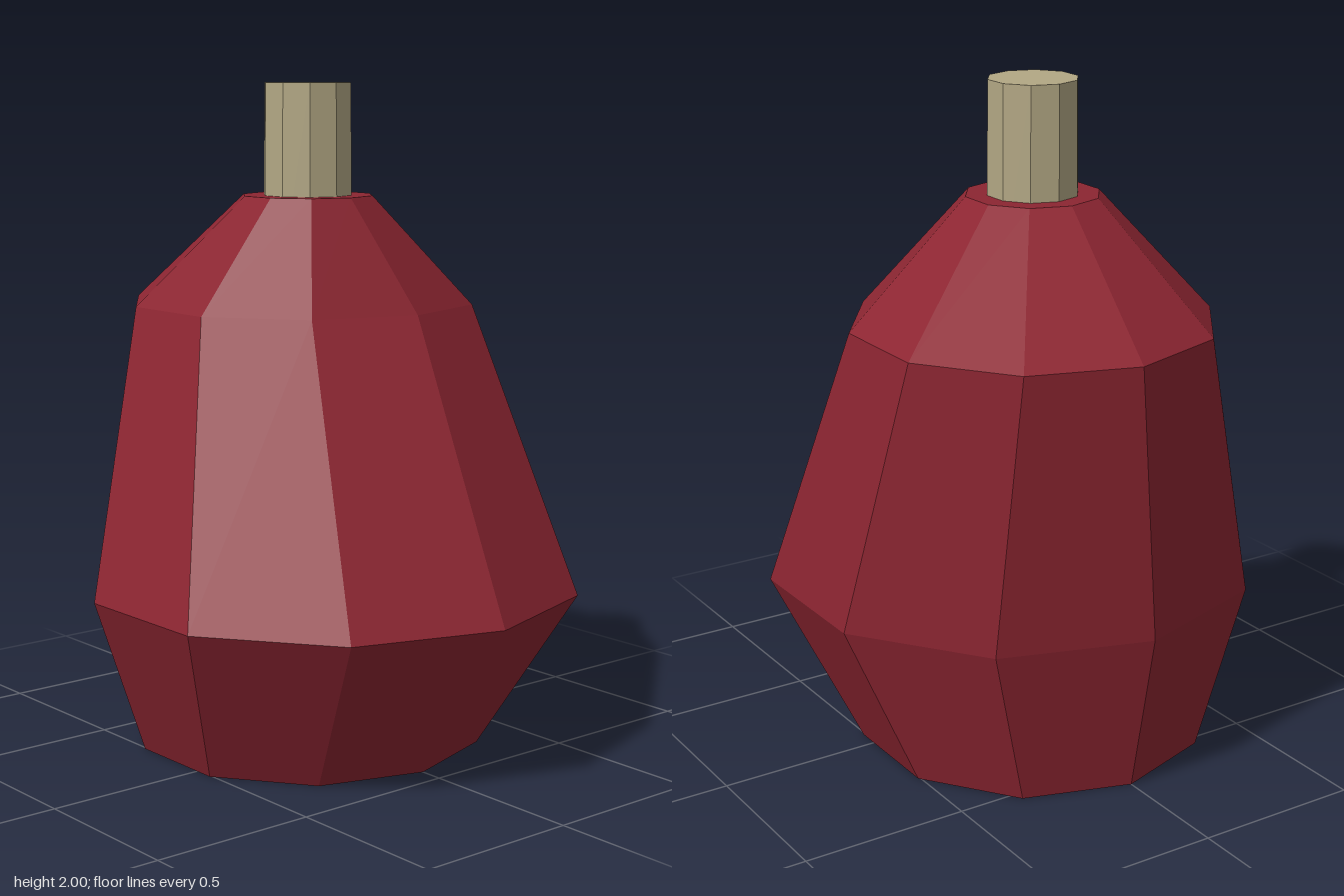
import * as THREE from 'three';

const SIDES = 10;

// Ten-sided unit prism reshaped by a list of rings, bottom to top: [y, centreX, centreZ, radius]
function ringSolid(rings) {
  const spans = rings.length - 1;
  const geo = new THREE.CylinderGeometry(1, 1, spans, SIDES, spans, false, Math.PI / 2).toNonIndexed();
  const pos = geo.attributes.position;
  for (let i = 0; i < pos.count; i++) {
    const [y, cx, cz, r] = rings[Math.round(pos.getY(i) + spans / 2)];
    pos.setXYZ(i, cx + pos.getX(i) * r, y, cz + pos.getZ(i) * r);
  }
  geo.computeVertexNormals();
  return geo;
}

export function createModel() {
  const red = new THREE.MeshStandardMaterial({ name: 'deepRed', color: 0x8c2531, flatShading: true });
  const tan = new THREE.MeshStandardMaterial({ name: 'paleTan', color: 0xb2a784, flatShading: true });
  const group = new THREE.Group();
  group.name = 'leaningBottle';

  // Lopsided body with a skewed shoulder
  const body = new THREE.Mesh(ringSolid([
    [0, -0.102, 0, 0.533],
    [0.5, 0.015, 0, 0.75],
    [1.333, -0.235, -0.085, 0.535],
    [1.667, -0.102, 0, 0.2],
  ]), red);
  body.name = 'body';

  // Slightly tapered stopper, sunk into the body
  const stopper = new THREE.Mesh(ringSolid([
    [1.45, -0.102, 0, 0.138],
    [2, -0.102, 0, 0.133],
  ]), tan);
  stopper.name = 'stopper';

  group.add(body, stopper);
  return group;
}
